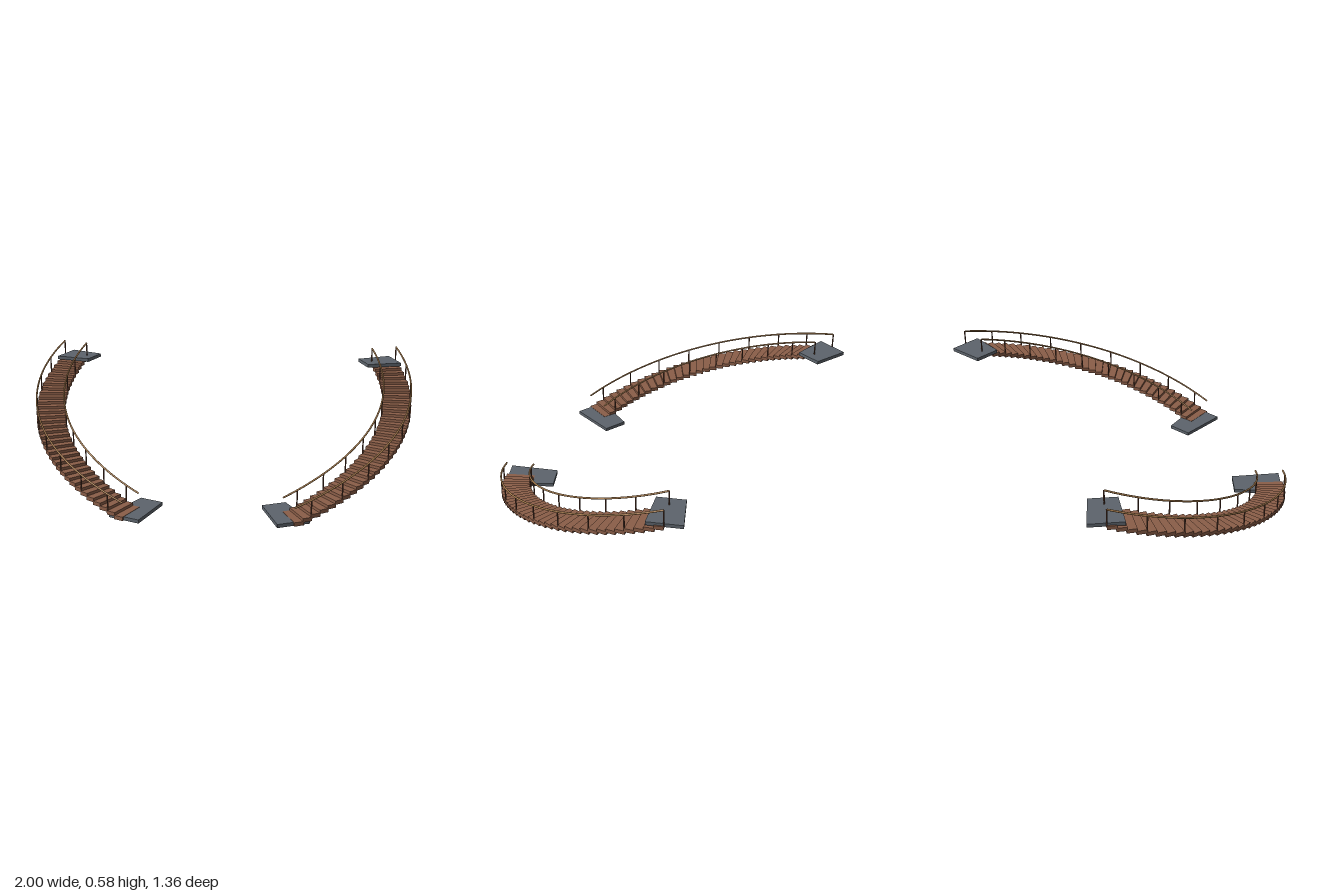
import * as THREE from 'three';

const mat = (name, color) => {
  const m = new THREE.MeshStandardMaterial({ color });
  m.name = name;
  return m;
};

// Layout: both flights share one circle, climbing from START to END
const CENTER_Z = -0.26, INNER = 0.85, OUTER = 1.0;
const START = 66, END = -20, STEPS = 34, HEIGHT = 0.485, RAIL_LIFT = 0.09;
const rad = THREE.MathUtils.degToRad;
const angleAt = t => rad(START + (END - START) * t);

// Point on the circle; side is +1 for left, -1 for right
const at = (side, r, a, y) =>
  new THREE.Vector3(side * r * Math.cos(a), y, CENTER_Z + r * Math.sin(a));

// Flat wedge between two radii and two angles, standing on height y
const wedge = (side, r0, r1, a0, a1, y, thickness) => {
  const corners = [[r0, a0], [r1, a0], [r1, a1], [r0, a1]].map(([r, a]) => {
    const p = at(side, r, a, 0);
    return new THREE.Vector2(p.x, -p.z);
  });
  return new THREE.ExtrudeGeometry(new THREE.Shape(corners), { depth: thickness, bevelEnabled: false })
    .rotateX(-Math.PI / 2).translate(0, y, 0);
};

export function createModel() {
  const wood = mat('treadWood', 0x8b5e48);
  const railWood = mat('railWood', 0xa67c4e);
  const postWood = mat('postWood', 0x6b4636);
  const stone = mat('landingStone', 0x5d646c);
  const model = new THREE.Group();
  model.name = 'curvedStaircases';

  const add = (group, name, geometry, material) => {
    const mesh = new THREE.Mesh(geometry, material);
    mesh.name = name;
    group.add(mesh);
    return mesh;
  };

  for (const side of [1, -1]) {
    const flight = new THREE.Group();
    flight.name = side > 0 ? 'leftFlight' : 'rightFlight';
    model.add(flight);

    // Treads
    for (let i = 0; i < STEPS; i++) {
      add(flight, 'tread', wedge(side, INNER, OUTER, angleAt(i / STEPS),
        angleAt(Math.min(1, (i + 1.08) / STEPS)), i * HEIGHT / STEPS, 0.0195), wood);
    }

    // Handrails and posts along both edges
    for (const r of [INNER + 0.003, OUTER - 0.004]) {
      const points = [];
      for (let i = 0; i <= 20; i++) {
        points.push(at(side, r, angleAt(i / 20), RAIL_LIFT + HEIGHT * i / 20));
      }
      add(flight, 'handrail',
        new THREE.TubeGeometry(new THREE.CatmullRomCurve3(points), 68, 0.0045, 16), railWood);

      for (let i = 2; i <= STEPS; i += 4) {
        const t = i / STEPS;
        const post = add(flight, 'post', new THREE.CylinderGeometry(0.0035, 0.0035, RAIL_LIFT, 16), postWood);
        post.position.copy(at(side, r, angleAt(t), HEIGHT * t + RAIL_LIFT / 2));
      }
    }

    // Landings
    add(flight, 'bottomLanding', wedge(side, 0.742, 0.993, rad(70.8), rad(61.2), 0, 0.018), stone);
    add(flight, 'topLanding', wedge(side, 0.808, 0.997, rad(-15.3), rad(-25), 0.485, 0.018), stone);
  }
  return model;
}
